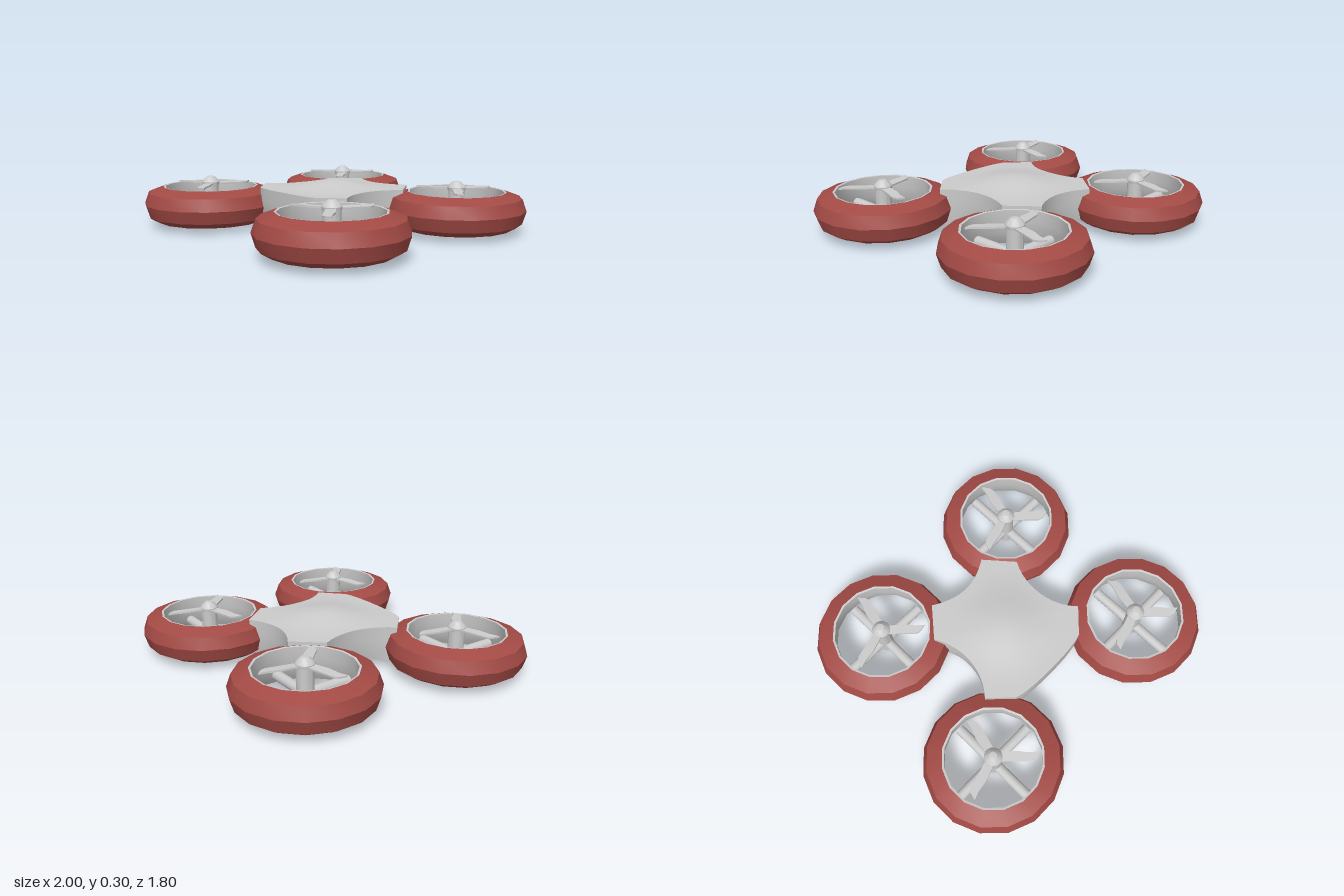
import * as THREE from 'three';
import { toCreasedNormals } from 'three/addons/utils/BufferGeometryUtils.js';

const grey = new THREE.MeshStandardMaterial({ color: 0xcccccc });
const red = new THREE.MeshStandardMaterial({ color: 0xa34a45 });
const SIDES = 16;

function part(name, geometry, material = grey) {
  const mesh = new THREE.Mesh(geometry, material);
  mesh.name = name;
  return mesh;
}

// Lathe from [radius, y] pairs, smooth around and creased at profile corners
function turned(points, sides = SIDES) {
  const k = 1 / Math.cos(Math.PI / sides); // radii are measured to the flats
  const lathe = new THREE.LatheGeometry(points.map(([r, y]) => new THREE.Vector2(r * k, y)), sides);
  return toCreasedNormals(lathe.rotateY(Math.PI / sides), 0.5);
}

// Three-bladed propeller, lying flat
function bladeGeometry() {
  const s = new THREE.Shape();
  s.moveTo(-0.015, 0.03);
  s.lineTo(0.035, 0.03);
  s.lineTo(0.077, 0.19);
  s.lineTo(0.07, 0.22);
  s.lineTo(0.038, 0.253);
  s.lineTo(0.028, 0.2);
  s.lineTo(0.002, 0.135);
  s.closePath();
  const g = new THREE.ExtrudeGeometry(s, { depth: 0.01, bevelEnabled: false });
  return g.rotateX(-Math.PI / 2).rotateZ(-0.06);
}

function makeRotor(name, x, z) {
  const rotor = new THREE.Group();
  rotor.name = name;
  rotor.position.set(x, 0, z);

  // Padded outer ring and its flared inner wall
  rotor.add(part('bumperRing', turned([
    [0.32, 0.027], [0.375, 0.06], [0.398, 0.135], [0.373, 0.207], [0.285, 0.24],
  ]), red));
  rotor.add(part('ductWall', turned([
    [0.285, 0.24], [0.273, 0.238], [0.275, 0.17], [0.287, 0.1], [0.305, 0.055], [0.32, 0.027],
  ])));

  // Motor post
  rotor.add(part('motorPost', turned([
    [0, 0], [0.036, 0], [0.046, 0.012], [0.046, 0.245], [0, 0.245],
  ])));

  // Crossed struts
  for (const turn of [0, Math.PI / 2]) {
    const strut = part('strut', new THREE.CylinderGeometry(0.03, 0.03, 0.555, 12).rotateZ(Math.PI / 2));
    strut.position.y = 0.09;
    strut.rotation.y = turn;
    rotor.add(strut);
  }

  // Propeller
  const propeller = new THREE.Group();
  propeller.name = 'propeller';
  const blade = bladeGeometry();
  for (let i = 0; i < 3; i++) {
    const mesh = part('blade', blade);
    mesh.position.y = 0.248;
    mesh.rotation.y = (i * Math.PI * 2) / 3;
    propeller.add(mesh);
  }
  propeller.add(part('spinner', turned([
    [0, 0.243], [0.05, 0.243], [0.052, 0.262], [0.043, 0.277], [0.022, 0.296], [0, 0.3],
  ])));
  rotor.add(propeller);
  return rotor;
}

// Four-armed shell: the plan outline carried over the top, down the wall and under
function bodyGeometry() {
  const half = new THREE.Shape();
  half.moveTo(0, -0.33);
  half.quadraticCurveTo(0.1, -0.33, 0.21, -0.4);
  half.lineTo(0.35, -0.235);
  half.bezierCurveTo(0.27, -0.1, 0.27, 0.1, 0.395, 0.23);
  half.lineTo(0.267, 0.353);
  half.quadraticCurveTo(0.2, 0.38, 0, 0.38);
  const right = half.getPoints(10);
  const left = right.slice(1, -1).reverse().map((p) => new THREE.Vector2(-p.x, p.y));
  const outline = [...right, ...left];

  const bell = (t) => (Math.abs(t) < 1 ? (1 + Math.cos(Math.PI * t)) / 2 : 0);
  const top = (x, z) => 0.25 + 0.045 * bell(x / 0.34) * bell(z / 0.34);
  const step = THREE.MathUtils.smoothstep;
  const bottom = (x, z) =>
    0.055 - 0.033 * step(Math.abs(x), 0.2, 0.36) * step(Math.abs(z), 0.05, 0.25);

  // [plan scale, height blend from top (1) to bottom (0)]
  const rows = [];
  for (let i = 0; i <= 8; i++) rows.push([i / 8, 1]);
  rows.push([0.995, 0.6], [0.98, 0.25], [0.94, 0]);
  for (let i = 5; i >= 0; i--) rows.push([(0.94 * i) / 6, 0]);

  const positions = [];
  const index = [];
  const n = outline.length;
  rows.forEach(([scale, blend], r) => {
    outline.forEach((p, j) => {
      const x = p.x * scale;
      const z = p.y * scale;
      positions.push(x, THREE.MathUtils.lerp(bottom(x, z), top(x, z), blend), z);
      if (r === 0) return;
      const a = (r - 1) * n + j;
      const b = (r - 1) * n + ((j + 1) % n);
      if (r > 1) index.push(a, b, b + n);
      if (r < rows.length - 1) index.push(a, b + n, a + n);
    });
  });
  const g = new THREE.BufferGeometry();
  g.setAttribute('position', new THREE.Float32BufferAttribute(positions, 3));
  g.setIndex(index);
  return toCreasedNormals(g, 0.6);
}

export function createModel() {
  const model = new THREE.Group();
  model.name = 'quadcopter';
  model.add(part('body', bodyGeometry()));
  for (const [side, sign] of [['Left', 1], ['Right', -1]]) {
    model.add(makeRotor(`front${side}Rotor`, sign * 0.602, 0.5));
    model.add(makeRotor(`back${side}Rotor`, sign * 0.527, -0.5));
  }
  return model;
}
